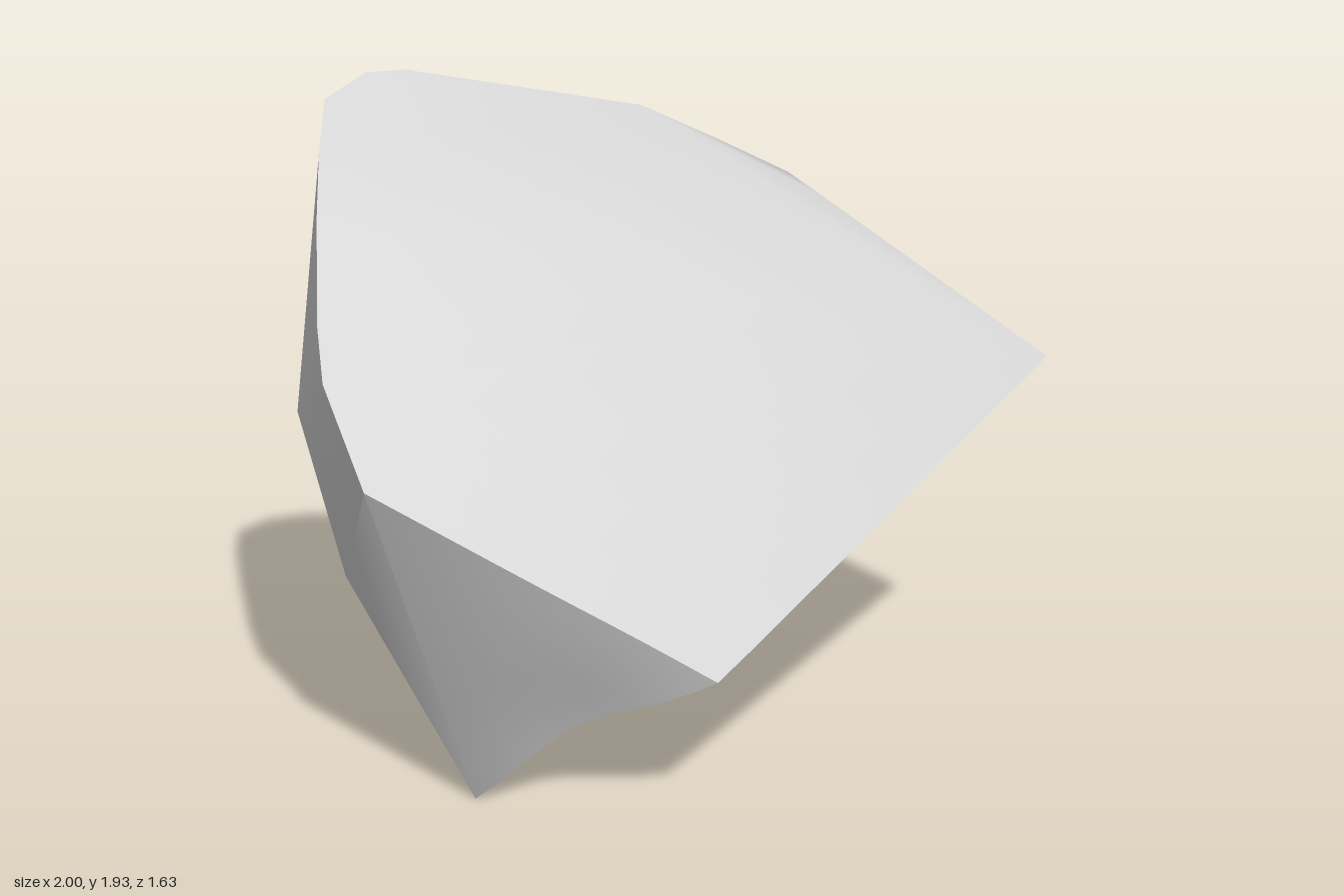
import * as THREE from 'three';
import { ConvexGeometry } from 'three/addons/geometries/ConvexGeometry.js';
import { toCreasedNormals } from 'three/addons/utils/BufferGeometryUtils.js';

// Corners of the boulder, grouped by the surface they bound
const corners = {
  // broad sloping front face
  frontFace: [
    [1, 1.09, -0.53], [0.32, 0.45, 0.61], [-0.25, 0.79, 0.7], [-0.6, 0.97, 0.81],
    [-0.76, 1.22, 0.69], [-0.81, 1.35, 0.6], [-0.88, 1.6, 0.42], [-0.92, 1.75, 0.3],
    [-0.95, 1.88, 0.18], [-0.18, 1.81, -0.32], [0.32, 1.55, -0.46],
  ],
  // blunt peak
  peak: [[-0.87, 1.94, 0.07], [-0.78, 1.94, 0]],
  // bevel behind the upper front edge
  bevel: [
    [0.69, 1.28, -0.53], [0.54, 1.38, -0.51], [0.22, 1.6, -0.49], [0.02, 1.71, -0.4],
    [-0.05, 1.66, -0.5], [-0.2, 1.64, -0.55],
  ],
  // rim of the undercut right face
  undercut: [
    [0.69, 0.94, -0.82], [0.03, 0.48, -0.8], [-0.45, 0.12, -0.18],
    [-0.36, 0.07, 0.2], [-0.38, 0, 0.62],
  ],
  // left flank
  leftFlank: [
    [-0.8, 0.59, 0.51], [-1, 1.01, 0.35], [-1, 1.05, 0.05], [-0.72, 0.55, 0.02],
    [-0.86, 1.5, -0.1], [-0.65, 0.68, -0.38], [-0.58, 0.38, -0.37],
  ],
  // rounded back
  back: [
    [-0.3, 1.58, -0.6], [-0.2, 1.43, -0.7], [0.1, 1.42, -0.7], [-0.5, 1.6, -0.38],
    [-0.56, 1.42, -0.54], [-0.56, 1.15, -0.55], [-0.37, 1.02, -0.7], [0.02, 0.85, -0.8],
  ],
};

// Shallow chips in the undercut: centre, push, radius
const dents = [
  { centre: [-0.06, 0.2, 0.58], push: [-0.03, 0.06, -0.01], radius: 0.26 },
  { centre: [-0.08, 0.36, -0.5], push: [-0.04, 0.04, 0], radius: 0.2 },
].map(({ centre, push, radius }) => ({
  centre: new THREE.Vector3(...centre), push: new THREE.Vector3(...push), radius,
}));

// Presses the dents into a surface point and tilts its normal to match
function dent(position, normal) {
  const start = position.clone();
  for (const { centre, push, radius } of dents) {
    const offset = start.clone().sub(centre);
    const weight = Math.exp(-offset.lengthSq() / radius ** 2);
    position.addScaledVector(push, weight);
    normal.addScaledVector(offset, (2 * weight * push.dot(normal)) / radius ** 2);
  }
  normal.normalize();
}

// Splits every triangle into n * n smaller ones and dents them
function chip(source, n) {
  const positions = [];
  const normals = [];
  const at = (name, tri, i, j) => {
    const [a, b, c] = [0, 1, 2].map((k) =>
      new THREE.Vector3().fromBufferAttribute(source.attributes[name], tri + k));
    return a.multiplyScalar(1 - (i + j) / n).addScaledVector(b, i / n).addScaledVector(c, j / n);
  };
  const add = (tri, i, j) => {
    const position = at('position', tri, i, j);
    const normal = at('normal', tri, i, j).normalize();
    dent(position, normal);
    positions.push(...position);
    normals.push(...normal);
  };
  for (let tri = 0; tri < source.attributes.position.count; tri += 3) {
    for (let i = 0; i < n; i++) {
      for (let j = 0; j < n - i; j++) {
        add(tri, i, j); add(tri, i + 1, j); add(tri, i, j + 1);
        if (i + j > n - 2) continue;
        add(tri, i + 1, j); add(tri, i + 1, j + 1); add(tri, i, j + 1);
      }
    }
  }
  const geometry = new THREE.BufferGeometry();
  geometry.setAttribute('position', new THREE.Float32BufferAttribute(positions, 3));
  geometry.setAttribute('normal', new THREE.Float32BufferAttribute(normals, 3));
  return geometry;
}

export function createModel() {
  const points = Object.values(corners).flat().map((p) => new THREE.Vector3(...p));

  // Smooth over shallow edges, keep the main ridges sharp
  const hull = toCreasedNormals(new ConvexGeometry(points), 0.8);

  const boulder = new THREE.Mesh(chip(hull, 10), new THREE.MeshStandardMaterial({ color: 0xcccccc }));
  boulder.name = 'boulder';

  const group = new THREE.Group();
  group.name = 'rock';
  group.add(boulder);
  return group;
}
